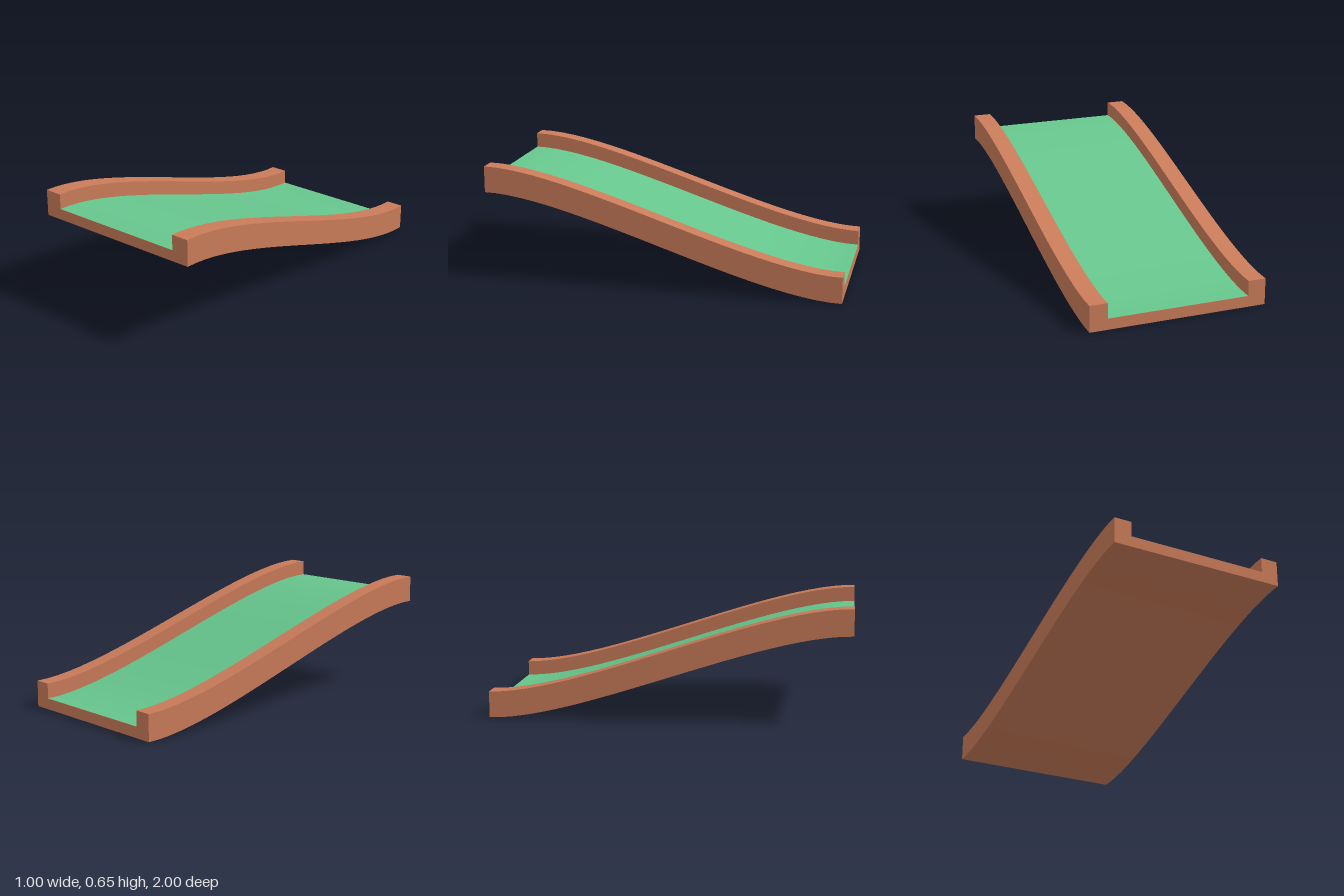
import * as THREE from 'three';
import { toCreasedNormals } from 'three/addons/utils/BufferGeometryUtils.js';

const STEPS = 24, HALF = 0.5, INNER = 0.4, FLOOR = 0.0625, RAIL = 0.147;

// Side profile of the slope: (z, y) from the low back end to the high front end
const slope = new THREE.CubicBezierCurve(
  new THREE.Vector2(-1, 0), new THREE.Vector2(-0.5, 0),
  new THREE.Vector2(0.5, 0.5), new THREE.Vector2(1, 0.5));

// Bends a straight piece lying along z (-1 to 1) onto the slope
function bend(geometry) {
  const pos = geometry.attributes.position;
  for (let i = 0; i < pos.count; i++) {
    const p = slope.getPoint((pos.getZ(i) + 1) / 2);
    pos.setY(i, pos.getY(i) + p.y);
    pos.setZ(i, p.x);
  }
  return toCreasedNormals(geometry, 0.5);
}

export function createModel() {
  const wood = new THREE.MeshStandardMaterial({ color: 0xc97b59 });
  wood.name = 'wood';
  const turf = new THREE.MeshStandardMaterial({ color: 0x66c58c });
  turf.name = 'turf';

  // Trough: U-shaped section with a raised rail on each side
  const f = FLOOR - 0.001;
  const section = new THREE.Shape([
    [-HALF, 0], [HALF, 0], [HALF, RAIL], [INNER, RAIL],
    [INNER, f], [-INNER, f], [-INNER, RAIL], [-HALF, RAIL],
  ].map(([x, y]) => new THREE.Vector2(x, y)));
  const troughGeometry = new THREE.ExtrudeGeometry(section, { depth: 2, steps: STEPS, bevelEnabled: false });
  troughGeometry.translate(0, 0, -1);
  const trough = new THREE.Mesh(bend(troughGeometry), wood);
  trough.name = 'trough';

  // Green running surface laid between the rails
  const surfaceGeometry = new THREE.PlaneGeometry(2 * INNER, 2, 1, STEPS);
  surfaceGeometry.rotateX(-Math.PI / 2).translate(0, FLOOR, 0);
  const surface = new THREE.Mesh(bend(surfaceGeometry), turf);
  surface.name = 'turfSurface';

  const ramp = new THREE.Group();
  ramp.name = 'ramp';
  ramp.add(trough, surface);
  return ramp;
}
